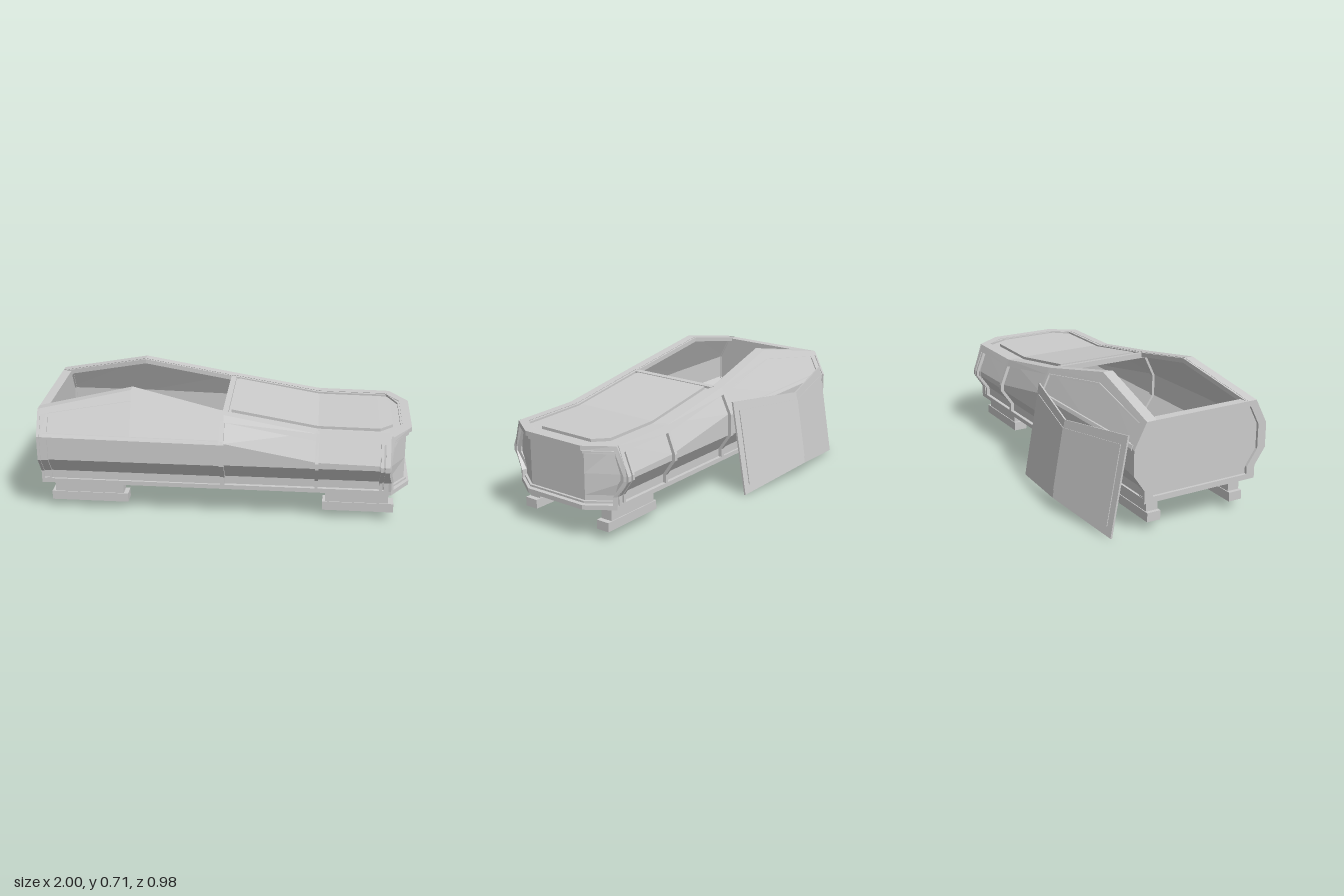
import * as THREE from 'three';

const V = (x, y, z) => new THREE.Vector3(x, y, z);
const material = new THREE.MeshStandardMaterial({ color: 0xcccccc, flatShading: true });

// Stations along the length: x, shoulder height, rim height, rim half width
const STATIONS = [
  [-1, 0.47, 0.605, 0.33], [-0.5, 0.47, 0.71, 0.28], [0, 0.46, 0.605, 0.33],
  [0.5, 0.37, 0.52, 0.34], [1, 0.36, 0.515, 0.34],
];

function station(x) {
  let i = 0;
  while (i < STATIONS.length - 2 && x > STATIONS[i + 1][0]) i++;
  const a = STATIONS[i], b = STATIONS[i + 1], k = (x - a[0]) / (b[0] - a[0]);
  return a.map((v, n) => v + (b[n] - v) * k);
}

// Half cross-section at x as [half width, height], from floor edge to rim
function profile(x) {
  const [, shoulder, top, width] = station(x);
  return [[0.3375, 0.175], [0.3375, 0.245], [0.4, 0.335], [0.4, shoulder], [width, top]];
}

function along(x, t) {
  const p = profile(x), i = Math.min(3, Math.floor(t)), k = t - i;
  return [p[i][0] + (p[i + 1][0] - p[i][0]) * k, p[i][1] + (p[i + 1][1] - p[i][1]) * k];
}

// Profile parameters from a to b, keeping the corners between them
const span = (a, b) => [a, ...[1, 2, 3].filter((n) => n > a && n < b), b];

// Closed solid between two matching grids of points
function slab(outer, inner) {
  const tris = [];
  const quad = (a, b, c, d) => tris.push(a, b, c, a, c, d);
  const n = outer.length - 1, m = outer[0].length - 1;
  for (let i = 0; i < n; i++) {
    for (let j = 0; j < m; j++) {
      quad(outer[i][j], outer[i + 1][j], outer[i + 1][j + 1], outer[i][j + 1]);
      quad(inner[i][j], inner[i][j + 1], inner[i + 1][j + 1], inner[i + 1][j]);
    }
    quad(outer[i][0], inner[i][0], inner[i + 1][0], outer[i + 1][0]);
    quad(outer[i][m], outer[i + 1][m], inner[i + 1][m], inner[i][m]);
  }
  for (let j = 0; j < m; j++) {
    quad(outer[0][j], outer[0][j + 1], inner[0][j + 1], inner[0][j]);
    quad(outer[n][j], inner[n][j], inner[n][j + 1], outer[n][j + 1]);
  }
  // Turn the solid right side out when its signed volume is negative
  const c = outer[0][0];
  let volume = 0;
  for (let i = 0; i < tris.length; i += 3) {
    const [p, q, r] = [0, 1, 2].map((k) => tris[i + k].clone().sub(c));
    volume += p.dot(q.cross(r));
  }
  if (volume < 0) tris.reverse();
  const g = new THREE.BufferGeometry().setFromPoints(tris);
  g.computeVertexNormals();
  return g;
}

function add(parent, name, geometry) {
  const mesh = new THREE.Mesh(geometry, material);
  mesh.name = name;
  parent.add(mesh);
  return mesh;
}

function box(parent, name, x0, x1, y0, y1, z0, z1) {
  add(parent, name, new THREE.BoxGeometry(x1 - x0, y1 - y0, z1 - z0))
    .position.set((x0 + x1) / 2, (y0 + y1) / 2, (z0 + z1) / 2);
}

// Piece of side wall between insets d0 and d1
function wall(xs, ts, side, d0, d1) {
  const grid = (d) => xs.map((x) => ts.map((t) => {
    const [w, y] = along(x, t);
    return V(x, y, side * (w - d));
  }));
  return slab(grid(d0), grid(d1));
}

// Piece of the three-sided foot end; s runs 0..3 around the plan
function cap(ss, ts, d0, d1) {
  const grid = (d) => ss.map((s) => ts.map((t) => {
    const [w, y] = along(0.9, t), cx = 0.9 - (w - 0.3375) * 0.35;
    const plan = [[cx, w], [1, 0.19], [1, -0.19], [cx, -w]];
    const i = Math.min(2, Math.floor(s)), k = s - i;
    const x = plan[i][0] + (plan[i + 1][0] - plan[i][0]) * k;
    const z = plan[i][1] + (plan[i + 1][1] - plan[i][1]) * k;
    return V(x - d, y, z * (1 - d * 0.8));
  }));
  return slab(grid(d0), grid(d1));
}

// Plate across the width from [x, half width, height] rows
function plate(rows, thickness) {
  const grid = (d) => rows.map(([x, w, y]) => [V(x, y - d, -w), V(x, y - d, w)]);
  return slab(grid(0), grid(thickness));
}

export function createModel() {
  const model = new THREE.Group();
  const body = new THREE.Group();
  body.name = 'body';
  body.position.z = 0.0925;
  model.add(body);
  const topY = (x) => station(x)[2];

  // Floor
  add(body, 'floor', plate([[-1, 0.3375, 0.195], [0.9, 0.3375, 0.195], [1, 0.19, 0.195]], 0.02));

  for (const side of [1, -1]) {
    // Inset wall panels
    add(body, 'headSidePanel', wall([-0.98, -0.5, 0], span(0, 4), side, 0.012, 0.045));
    add(body, 'footSidePanel', wall([0, 0.5, 0.885], span(0, 4), side, 0.02, 0.045));

    // Ribs across the wall
    for (const [a, b, depth] of [[-1, -0.985, 0.05], [-0.985, -0.945, 0.05], [-0.02, 0.005, 0.06],
      [0.49, 0.508, 0.04], [0.835, 0.85, 0.04], [0.86, 0.885, 0.05]]) {
      add(body, 'sideRib', wall([a, b], span(0, 4), side, a === -0.985 ? 0.005 : 0, depth));
    }

    // Rails along the wall
    add(body, 'bottomRail', wall([-1, 0, 0.885], [0, 0.35], side, 0, 0.04));
    add(body, 'middleRail', wall([-0.97, 0], [2.93, 3, 3.12], side, 0, 0.03));
    add(body, 'headTopRail', wall([-1, -0.5, 0], [3.8, 4], side, 0, 0.05));
    add(body, 'headTopBead', wall([-0.97, -0.5, -0.01], [3.72, 3.77], side, 0.005, 0.04));
    add(body, 'footTopRail', wall([0, 0.5, 0.885], [3.75, 4], side, 0, 0.04));

    // Rim on top, running round to the foot end
    const rim = (o, i, lift) => {
      const xs = [-1, -0.5, 0, 0.5, 0.885];
      const rows = xs.map((x) => [o, i].map((d) => V(x, topY(x) + lift, side * (station(x)[3] - d))));
      rows.push([o, i].map((d) => V(1 - d, topY(1) + lift, side * (0.19 - d * 0.5))));
      return slab(rows, rows.map((r) => r.map((p) => p.clone().setY(p.y - 0.025))));
    };
    add(body, 'rim', rim(0, 0.035, 0));
    add(body, 'innerRim', rim(0.042, 0.06, -0.002));

    // Feet in two steps
    for (const [a, b, c, d] of [[-0.96, -0.535, -0.94, -0.56], [0.535, 0.92, 0.55, 0.89]]) {
      const z = side * 0.253;
      box(body, 'footBlock', a, b, 0.05, 0.1, z - 0.039, z + 0.039);
      box(body, 'footPost', c, d, 0.1, 0.176, z - 0.034, z + 0.034);
    }
  }

  // Head end: recessed panel with bars along its bottom and top
  const outline = profile(-1).map(([w, y]) => [w - 0.012, y]);
  const headRows = (x) => outline.map(([w, y]) => [V(x, y, -w), V(x, y, w)]);
  add(body, 'headPanel', slab(headRows(-0.985), headRows(-0.955)));
  box(body, 'headBottomBar', -1, -0.95, 0.175, 0.205, -0.335, 0.335);
  box(body, 'headTopBar', -1, -0.95, 0.575, 0.605, -0.33, 0.33);

  // Foot end: recessed panel, frame and corner ribs
  add(body, 'footEndPanel', cap([0, 1, 2, 3], span(0, 4), 0.028, 0.05));
  add(body, 'footEndBottomRail', cap([0, 1, 2, 3], [0, 0.35], 0, 0.045));
  add(body, 'footEndBottomBead', cap([0, 1, 2, 3], [0.45, 0.6], 0.014, 0.045));
  add(body, 'footEndTopRail', cap([0, 1, 2, 3], [3.84, 4], 0, 0.045));
  add(body, 'footEndTopBead', cap([0, 1, 2, 3], [3.7, 3.79], 0.014, 0.045));
  for (const ss of [[0, 0.12], [2.88, 3]]) add(body, 'footEndRib', cap(ss, span(0, 4), 0, 0.045));
  box(body, 'footEndRim', 0.965, 1, 0.49, 0.515, -0.19, 0.19);
  box(body, 'footEndInnerRim', 0.94, 0.958, 0.49, 0.513, -0.17, 0.17);

  // Deck over the foot half and the lid still in place
  add(body, 'deck', plate([[-0.005, 0.32, topY(0) - 0.012], [0.5, 0.33, 0.508],
    [0.885, 0.33, 0.503], [0.985, 0.18, 0.503]], 0.015));
  add(body, 'deckEdge', plate([[-0.01, 0.3, topY(0) - 0.001], [0.02, 0.3, topY(0.02) - 0.001]], 0.03));
  add(body, 'footLid', plate([[0.035, 0.24, topY(0.035) + 0.003], [0.5, 0.24, 0.523],
    [0.83, 0.24, 0.52], [0.9, 0.17, 0.519]], 0.02));

  // Loose head lid leaning against the back, folded across its middle
  const lid = new THREE.Group();
  lid.name = 'looseHeadLid';
  model.add(lid);
  const upper = [V(-0.945, 0.53, -0.31), V(-0.5, 0.49, -0.415), V(-0.01, 0.53, -0.31)];
  const lower = [V(-0.945, 0.003, -0.404), V(-0.5, 0.07, -0.49), V(-0.01, 0.003, -0.404)];
  const normal = V(0, -0.18, 0.98);
  const lidGrid = (edge, inset, shift) => upper.map((p, i) => [edge, 1 - edge].map((k) => {
    const q = p.clone().lerp(lower[i], k).addScaledVector(normal, shift);
    q.x += [inset, 0, -inset][i];
    if (i !== 1) q.z -= inset * 0.22;
    return q;
  }));
  add(lid, 'lidPlate', slab(lidGrid(0, 0, 0), lidGrid(0, 0, 0.01)));
  add(lid, 'lidInnerPanel', slab(lidGrid(0.2, 0.04, 0.008), lidGrid(0.2, 0.04, 0.022)));
  add(lid, 'lidOuterPanel', slab(lidGrid(0.1, 0.035, -0.004), lidGrid(0.1, 0.035, 0.003)));

  return model;
}
